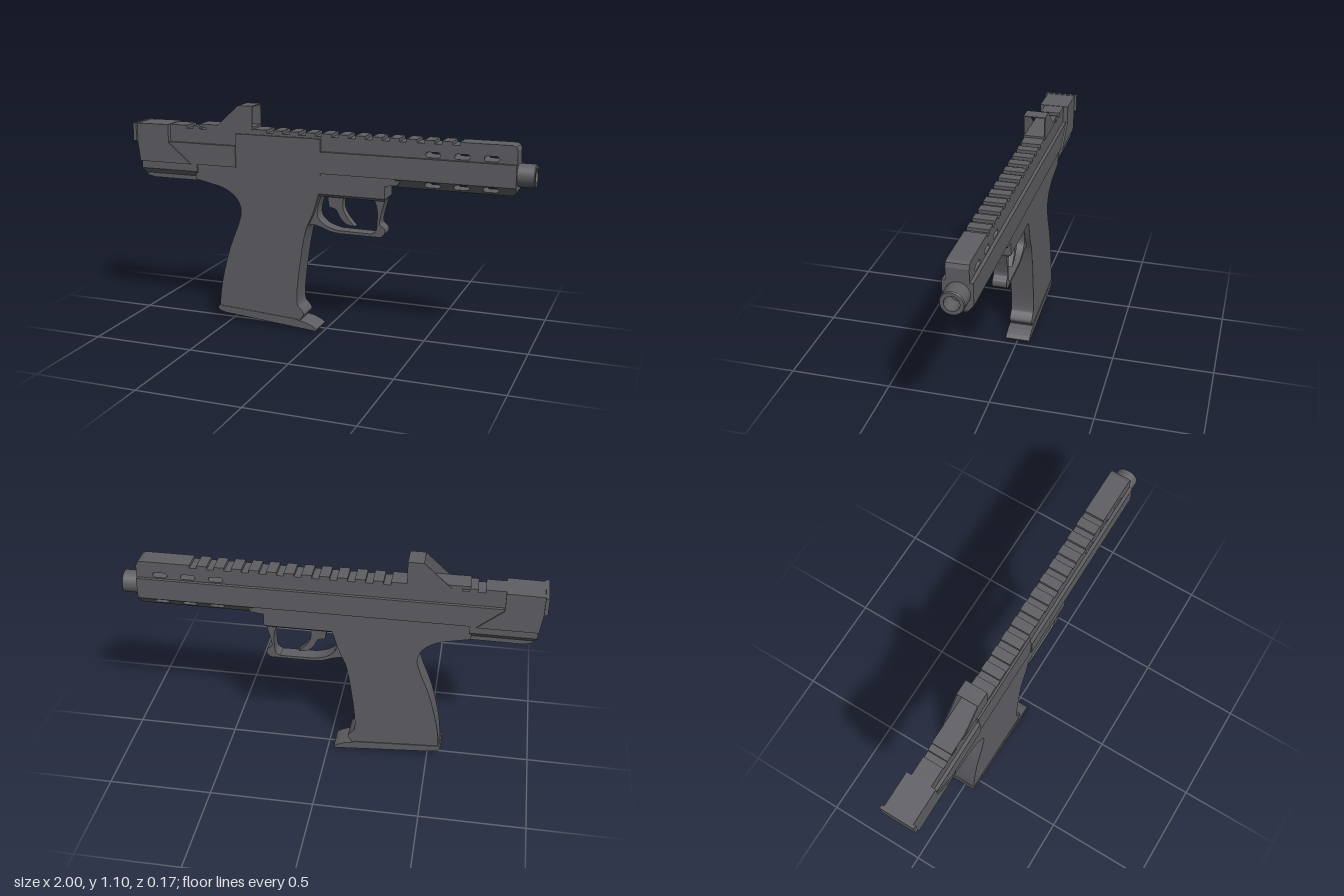
import * as THREE from 'three';

const gunmetal = new THREE.MeshStandardMaterial({ color: 0x5f5e63 });
gunmetal.name = 'gunmetal';

const V = (points) => points.map(([x, y]) => new THREE.Vector2(x, y));
const poly = (points) => new THREE.Shape(V(points));

// Rounded slot used as a hole
function slot(x0, x1, y0, y1) {
  const r = (y1 - y0) / 2, path = new THREE.Path();
  path.moveTo(x0 + r, y0);
  path.lineTo(x1 - r, y0);
  path.absarc(x1 - r, y0 + r, r, -Math.PI / 2, Math.PI / 2, false);
  path.lineTo(x0 + r, y1);
  path.absarc(x0 + r, y0 + r, r, Math.PI / 2, Math.PI * 1.5, false);
  return path;
}

export function createModel() {
  const group = new THREE.Group();

  const add = (name, geometry) => {
    const mesh = new THREE.Mesh(geometry, gunmetal);
    mesh.name = name;
    group.add(mesh);
    return mesh;
  };
  // Side profile extruded evenly about z = 0
  const plate = (name, shape, half, z = 0) => {
    const g = new THREE.ExtrudeGeometry(shape, { depth: half * 2, bevelEnabled: false, curveSegments: 10 });
    g.translate(0, 0, z - half);
    return add(name, g);
  };
  // Side profile whose half width runs from w0 at y0 to w1 at y1
  const tapered = (name, shape, y0, w0, y1, w1) => {
    const mesh = plate(name, shape, 1);
    const p = mesh.geometry.attributes.position;
    for (let i = 0; i < p.count; i++) {
      const t = THREE.MathUtils.clamp((p.getY(i) - y0) / (y1 - y0), 0, 1);
      p.setZ(i, p.getZ(i) * (w0 + (w1 - w0) * t));
    }
    mesh.geometry.computeVertexNormals();
    return mesh;
  };
  const box = (name, x0, x1, y0, y1, z0, z1) => {
    const g = new THREE.BoxGeometry(x1 - x0, y1 - y0, z1 - z0);
    g.translate((x0 + x1) / 2, (y0 + y1) / 2, (z0 + z1) / 2);
    return add(name, g);
  };

  // Upper receiver with rail notches along its top edge
  const top = [[-0.97, 0.905], [0.92, 0.905], [0.92, 0.965], [0.913, 0.983], [0.895, 0.99]];
  const notches = [-0.7, -0.63];
  for (let i = 0; i < 12; i++) notches.push(-0.272 + i * 0.083);
  for (const x of notches.reverse()) {
    top.push([x + 0.017, 0.99], [x + 0.017, 0.975], [x - 0.017, 0.975], [x - 0.017, 0.99]);
  }
  top.push([-0.97, 0.99]);
  const upper = poly(top);
  const slots = [0.5, 0.635, 0.77];
  for (const x of slots) upper.holes.push(slot(x, x + 0.07, 0.911, 0.936));
  plate('upperReceiver', upper, 0.05);

  // Wide side ridges, broken on the left by the flat ejection panel
  box('rightRidge', -0.97, 0.92, 0.8, 0.905, -0.066, 0);
  box('rearLeftRidge', -0.97, -0.45, 0.8, 0.905, 0, 0.066);
  box('frontLeftRidge', -0.01, 0.92, 0.8, 0.905, 0, 0.066);
  box('ejectionPanel', -0.45, -0.01, 0.79, 0.965, 0, 0.06);

  // Chamfered underside of the handguard
  const under = poly([[0.36, 0.8], [0.36, 0.757], [0.9, 0.757], [0.914, 0.765], [0.92, 0.78], [0.92, 0.8]]);
  for (const x of slots) under.holes.push(slot(x, x + 0.07, 0.768, 0.794));
  tapered('handguardUnderside', under, 0.757, 0.03, 0.8, 0.064);

  // Rear housing and charging handle
  plate('rearHousing', poly([[-0.985, 0.99], [-0.985, 0.9], [-0.972, 0.8], [-0.69, 0.8],
    [-0.81, 0.9], [-0.81, 0.992]]), 0.074);
  box('chargingHandle', -1, -0.983, 0.903, 0.992, -0.086, 0.086);
  box('rearFrame', -0.969, -0.66, 0.763, 0.8, -0.064, 0.064);
  tapered('rearChamfer', poly([[-0.969, 0.763], [-0.958, 0.737], [-0.66, 0.737], [-0.66, 0.763]]),
    0.737, 0.042, 0.763, 0.064);
  plate('rearKeel', poly([[-0.958, 0.737], [-0.945, 0.723], [-0.91, 0.715], [-0.66, 0.715], [-0.66, 0.737]]), 0.042);

  // Lower frame and grip in one curved profile
  const grip = new THREE.Shape();
  grip.moveTo(0.39, 0.8);
  grip.lineTo(-0.67, 0.8);
  grip.lineTo(-0.67, 0.725);
  grip.splineThru(V([[-0.6, 0.71], [-0.52, 0.69], [-0.455, 0.647], [-0.428, 0.585], [-0.444, 0.513],
    [-0.497, 0.374], [-0.54, 0.203], [-0.557, 0.07]]));
  grip.lineTo(-0.12, 0.04);
  grip.lineTo(-0.12, 0.055);
  grip.splineThru(V([[-0.1, 0.08], [-0.112, 0.105], [-0.132, 0.13], [-0.134, 0.2], [-0.118, 0.337],
    [-0.09, 0.5], [-0.05, 0.6], [-0.02, 0.7]]));
  grip.lineTo(0.31, 0.7);
  grip.lineTo(0.31, 0.762);
  grip.lineTo(0.37, 0.77);
  plate('gripFrame', grip, 0.058);
  tapered('housingChamfer', poly([[-0.03, 0.685], [0.3, 0.685], [0.31, 0.7], [-0.03, 0.7]]),
    0.685, 0.04, 0.7, 0.058);

  // Magazine floor plate with forward lip
  plate('magazineBase', poly([[-0.56, 0.08], [-0.566, 0.066], [-0.555, 0.052], [-0.52, 0.044], [-0.08, 0.008],
    [-0.035, 0.004], [-0.03, 0.014], [-0.05, 0.027], [-0.085, 0.042], [-0.125, 0.05], [-0.14, 0.055]]), 0.062);

  // Trigger guard loop
  const guard = new THREE.Shape();
  guard.moveTo(-0.03, 0.69);
  guard.lineTo(-0.1, 0.5);
  guard.splineThru(V([[-0.07, 0.538], [-0.02, 0.532], [0.03, 0.514], [0.08, 0.507]]));
  guard.lineTo(0.285, 0.507);
  guard.splineThru(V([[0.304, 0.525], [0.303, 0.55], [0.28, 0.573], [0.286, 0.62], [0.305, 0.69]]));
  const opening = new THREE.Path();
  opening.moveTo(-0.015, 0.688);
  opening.splineThru(V([[-0.034, 0.62], [-0.03, 0.575], [0.01, 0.54], [0.07, 0.522]]));
  opening.lineTo(0.24, 0.52);
  opening.splineThru(V([[0.262, 0.54], [0.268, 0.6], [0.265, 0.65], [0.25, 0.688]]));
  guard.holes.push(opening);
  plate('triggerGuard', guard, 0.034);

  // Curved trigger
  const trigger = new THREE.Shape();
  trigger.moveTo(0.01, 0.7);
  trigger.lineTo(0.02, 0.63);
  trigger.splineThru(V([[0.055, 0.62], [0.075, 0.585], [0.105, 0.555], [0.15, 0.545]]));
  trigger.splineThru(V([[0.118, 0.58], [0.094, 0.62], [0.09, 0.66], [0.1, 0.7]]));
  plate('trigger', trigger, 0.02);

  // Hollow barrel
  const barrel = new THREE.LatheGeometry(V([[0, 0.7], [0.034, 0.7], [0.034, 1], [0.034, 1], [0.05, 1],
    [0.05, 1], [0.054, 0.996], [0.054, 0.996], [0.054, 0.85]]).reverse(), 40);
  barrel.rotateZ(-Math.PI / 2);
  barrel.translate(0, 0.85, 0);
  add('barrel', barrel).geometry.computeBoundingSphere();

  // Open hooded sight: base, two sloped cheeks and a roof
  box('sightBase', -0.65, -0.362, 0.985, 1.0, -0.05, 0.05);
  for (const side of [-1, 1]) {
    plate(side > 0 ? 'leftSightCheek' : 'rightSightCheek',
      poly([[-0.565, 0.985], [-0.362, 0.985], [-0.362, 1.102], [-0.436, 1.102]]), 0.0025, side * 0.052);
  }
  box('sightRoof', -0.436, -0.362, 1.097, 1.102, -0.05, 0.05);

  return group;
}
